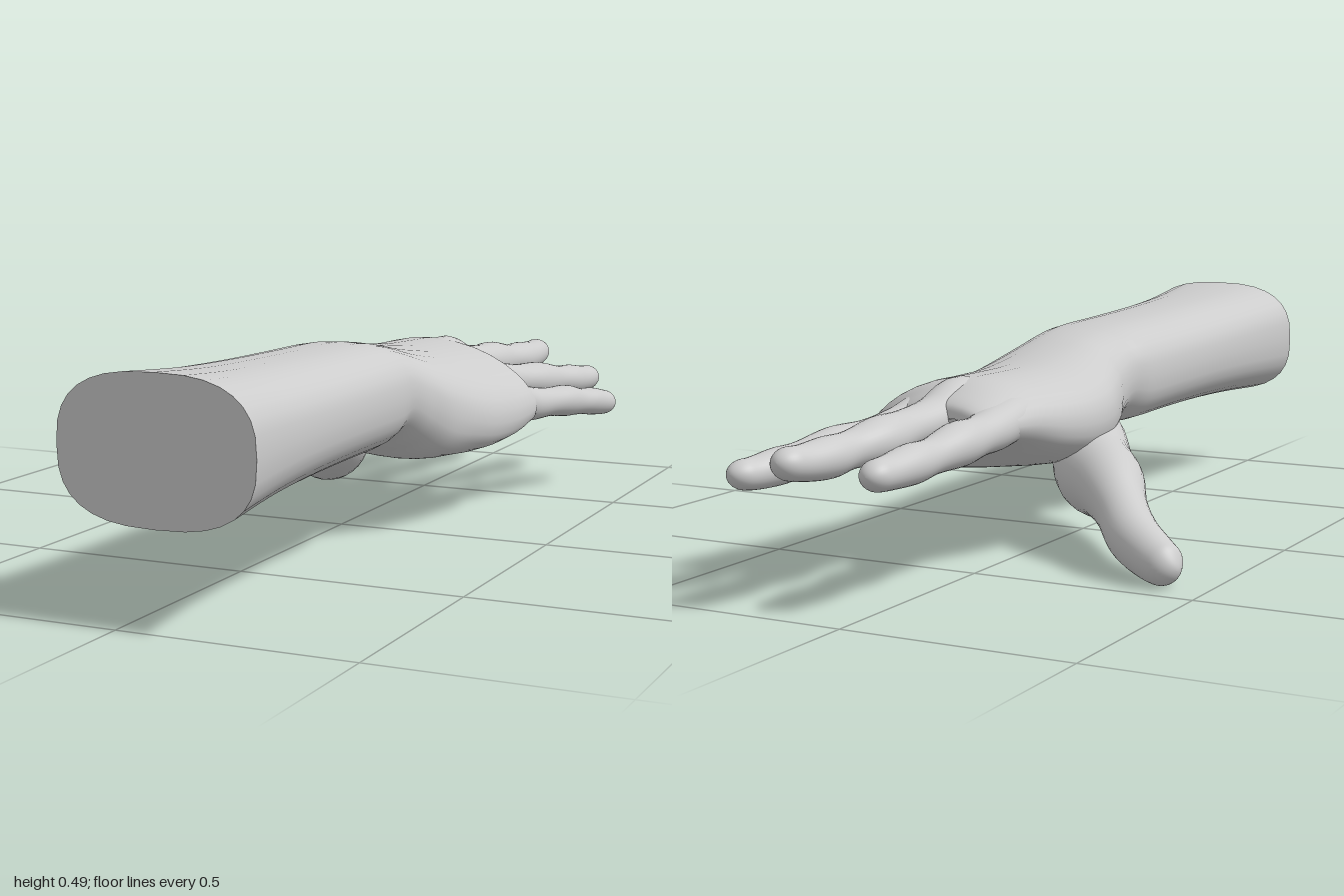
import * as THREE from 'three';

const SIDES = 32;

// Catmull-Rom smoothing of every column in a list of rows
function smooth(rows, count, ease = (t) => t) {
  const last = rows.length - 1;
  const row = (i) => rows[Math.min(Math.max(i, 0), last)];
  return Array.from({ length: count + 1 }, (_, k) => {
    const s = ease(k / count) * last;
    const i = Math.min(Math.floor(s), last - 1);
    const f = s - i;
    return rows[0].map((_, c) => {
      const a = row(i - 1)[c], b = row(i)[c], d = row(i + 1)[c], e = row(i + 2)[c];
      return b + 0.5 * f * (d - a + f * (2 * a - 5 * b + 4 * d - e + f * (3 * (b - d) + e - a)));
    });
  });
}

// Skin a list of rings, each holding SIDES points
function loft(rings) {
  const positions = [], index = [];
  rings.forEach((ring, i) => ring.forEach((p, j) => {
    positions.push(p.x, p.y, p.z);
    if (i === rings.length - 1) return;
    const a = i * SIDES + j, b = i * SIDES + ((j + 1) % SIDES);
    index.push(a, b, a + SIDES, b, b + SIDES, a + SIDES);
  }));
  const geometry = new THREE.BufferGeometry();
  geometry.setAttribute('position', new THREE.Float32BufferAttribute(positions, 3));
  geometry.setIndex(index);
  geometry.computeVertexNormals();
  return geometry;
}

const ringOf = (pointAt) =>
  Array.from({ length: SIDES }, (_, j) => pointAt((j / SIDES) * Math.PI * 2));

// Rounded-box section, bent into an arch and tilted down towards the little finger
function bodyRing([z, x0, x1, y0, y1, tilt, arch, shear, power]) {
  const bulge = (v) => Math.sign(v) * Math.abs(v) ** (2 / power);
  return ringOf((t) => {
    const u = -bulge(Math.cos(t));
    const x = (x0 + x1) / 2 + (u * (x1 - x0)) / 2;
    const y = (y0 + y1) / 2 + (bulge(Math.sin(t)) * (y1 - y0)) / 2;
    return new THREE.Vector3(x, y - tilt * u - arch * u * u, z + shear * (x - 0.01));
  });
}

// Finger with a rounded tip from rows of [x, y, z, radius]
function fingerGeometry(rows, height) {
  const path = smooth(rows, 56, (t) => 1 - (1 - t) ** 1.6);
  const centres = path.map((p) => new THREE.Vector3(p[0], p[1], p[2]));
  const end = centres[centres.length - 1];
  const tip = rows[rows.length - 1][3] * 1.2;
  return loft(centres.map((c, i) => {
    const along = centres[Math.min(i + 1, centres.length - 1)].clone()
      .sub(centres[Math.max(i - 1, 0)]).normalize();
    const up = new THREE.Vector3(0, 1, 0).addScaledVector(along, -along.y).normalize();
    const side = up.clone().cross(along);
    const near = Math.max(0, 1 - c.distanceTo(end) / tip);
    const r = path[i][3] * Math.sqrt(Math.max(0, 1 - near * near));
    return ringOf((t) => c.clone()
      .addScaledVector(side, Math.cos(t) * r)
      .addScaledVector(up, Math.sin(t) * r * height));
  }));
}

// Forearm to palm: z, x range, y range, tilt, arch, shear, squareness
const BODY = [
  [1.0, -0.12, 0.3, 0.2, 0.492, 0, 0, 0, 2.7],
  [0.8, -0.097, 0.275, 0.21, 0.475, 0, 0, 0, 2.6],
  [0.6, -0.087, 0.262, 0.215, 0.466, 0, 0, 0, 2.5],
  [0.4, -0.085, 0.255, 0.217, 0.46, 0, 0, 0, 2.5],
  [0.22, -0.082, 0.25, 0.217, 0.456, 0, 0, 0, 2.5],
  [0.14, -0.068, 0.246, 0.23, 0.448, 0, 0, 0, 2.4],
  [0.07, -0.075, 0.258, 0.2, 0.437, 0.005, 0.005, 0, 2.4],
  [0.0, -0.1, 0.283, 0.17, 0.425, 0.015, 0.01, 0, 2.4],
  [-0.1, -0.13, 0.302, 0.165, 0.412, 0.022, 0.02, 0, 2.3],
  [-0.2, -0.135, 0.317, 0.172, 0.4, 0.028, 0.028, 0, 2.3],
  [-0.3, -0.125, 0.335, 0.195, 0.396, 0.032, 0.033, 0.04, 2.3],
  [-0.4, -0.108, 0.348, 0.235, 0.392, 0.034, 0.036, 0.12, 2.3],
  [-0.48, -0.093, 0.325, 0.265, 0.372, 0.034, 0.035, 0.28, 2.3],
  [-0.525, -0.07, 0.3, 0.292, 0.35, 0.034, 0.032, 0.34, 2.2],
  [-0.535, -0.05, 0.28, 0.32, 0.321, 0.034, 0.03, 0.35, 2],
];

// Each digit runs from inside the palm, over its joints, to the tip
const DIGITS = {
  indexFinger: [
    [-0.03, 0.31, -0.28, 0.04], [-0.045, 0.325, -0.4, 0.05], [-0.048, 0.312, -0.5, 0.05],
    [-0.048, 0.305, -0.57, 0.045], [-0.045, 0.3, -0.64, 0.05], [-0.04, 0.29, -0.73, 0.04],
    [-0.035, 0.285, -0.8, 0.044], [-0.03, 0.28, -0.88, 0.037], [-0.028, 0.282, -0.945, 0.033],
  ],
  middleFinger: [
    [0.085, 0.335, -0.28, 0.04], [0.09, 0.352, -0.4, 0.053], [0.095, 0.322, -0.5, 0.052],
    [0.103, 0.313, -0.6, 0.046], [0.107, 0.305, -0.69, 0.053], [0.118, 0.298, -0.78, 0.042],
    [0.125, 0.293, -0.85, 0.046], [0.132, 0.294, -0.93, 0.039], [0.135, 0.305, -1.0, 0.034],
  ],
  ringFinger: [
    [0.17, 0.3, -0.26, 0.04], [0.185, 0.315, -0.37, 0.05], [0.205, 0.292, -0.46, 0.048],
    [0.225, 0.28, -0.55, 0.043], [0.25, 0.27, -0.64, 0.049], [0.272, 0.26, -0.73, 0.039],
    [0.285, 0.253, -0.79, 0.042], [0.3, 0.248, -0.86, 0.036], [0.31, 0.254, -0.915, 0.031],
  ],
  littleFinger: [
    [0.25, 0.26, -0.22, 0.04], [0.285, 0.26, -0.34, 0.05], [0.308, 0.246, -0.41, 0.045],
    [0.33, 0.24, -0.49, 0.038], [0.35, 0.235, -0.56, 0.042], [0.37, 0.226, -0.62, 0.035],
    [0.385, 0.221, -0.665, 0.037], [0.402, 0.214, -0.71, 0.033], [0.415, 0.215, -0.745, 0.028],
  ],
  thumb: [
    [0.0, 0.25, 0.07, 0.04], [-0.025, 0.215, -0.01, 0.08], [-0.095, 0.17, -0.13, 0.09],
    [-0.175, 0.155, -0.215, 0.078], [-0.24, 0.12, -0.29, 0.058], [-0.3, 0.082, -0.355, 0.056],
    [-0.365, 0.056, -0.4, 0.05], [-0.41, 0.044, -0.425, 0.042], [-0.436, 0.04, -0.437, 0.033],
  ],
};

export function createModel() {
  const model = new THREE.Group();
  model.name = 'handAndForearm';
  const skin = new THREE.MeshStandardMaterial({ color: 0xcccccc });
  skin.name = 'light grey';

  const add = (name, geometry) => {
    const mesh = new THREE.Mesh(geometry, skin);
    mesh.name = name;
    model.add(mesh);
  };

  // Forearm, wrist and palm in one skin
  add('forearmAndPalm', loft(smooth(BODY, 112).map(bodyRing)));

  // Flat cut at the elbow end
  const rim = bodyRing(BODY[0]);
  const centre = new THREE.Vector3(0.09, 0.346, 1);
  add('forearmCut', loft([rim.map(() => centre), rim]));

  // Fingers and thumb
  for (const [name, rows] of Object.entries(DIGITS)) {
    add(name, fingerGeometry(rows, name === 'thumb' ? 1.05 : 0.92));
  }
  return model;
}
